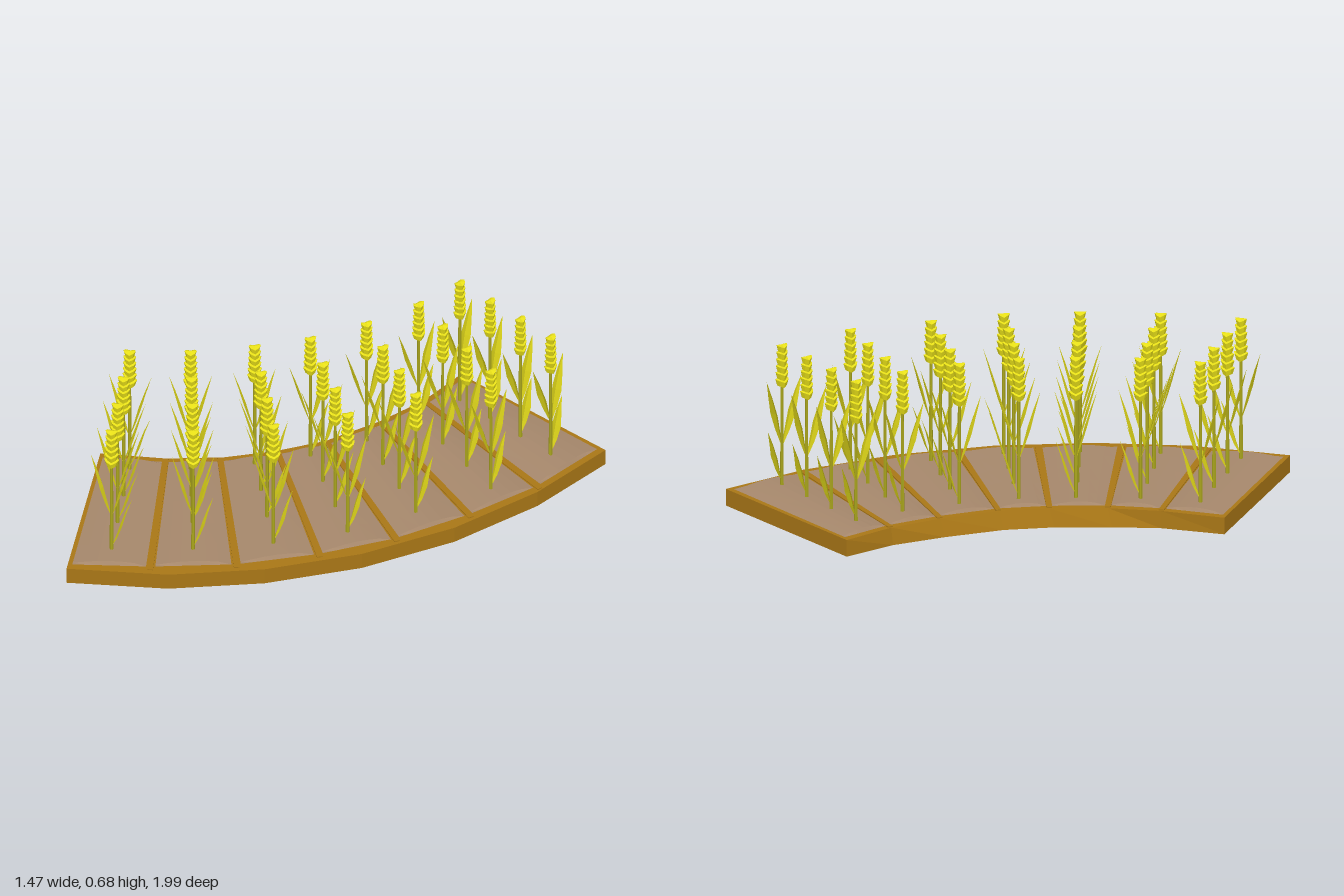
import * as THREE from 'three';

const mat = (color, side = THREE.FrontSide) =>
  new THREE.MeshStandardMaterial({ color, side, flatShading: true });
const wood = mat(0xa87616), soil = mat(0xa5876b);
const earMat = mat(0xe6de18), stemMat = mat(0xa8a41c), leafMat = mat(0xd8d018, THREE.DoubleSide);

const H = 0.07; // slab height
// Corners as [x, z]; seven beds lie between eight dividers
const outer = [[0.73, -1], [0.71, -0.62], [0.62, -0.23], [0.46, 0.14], [0.24, 0.47], [-0.02, 0.75], [-0.345, 0.99]];
const innerBottom = [[-0.02, -0.98], [-0.03, -0.755], [-0.085, -0.54], [-0.165, -0.305], [-0.265, -0.13],
  [-0.405, 0.05], [-0.53, 0.195], [-0.74, 0.35]];
const innerTop = [[-0.02, -0.98], [-0.017, -0.755], [-0.057, -0.54], [-0.132, -0.305], [-0.232, -0.13],
  [-0.37, 0.055], [-0.525, 0.2], [-0.74, 0.35]];
const dividerOut = [[0.73, -1], [0.71, -0.64], [0.63, -0.32], [0.515, -0.01], [0.355, 0.27], [0.155, 0.54], [-0.09, 0.78], [-0.345, 0.99]];
// First and last plant of each bed: x, z, x, z
const rows = [[0.10, -0.84, 0.60, -0.82], [0.07, -0.63, 0.57, -0.50], [0, -0.40, 0.45, -0.19], [-0.10, -0.18, 0.335, 0.085],
  [-0.23, 0.005, 0.165, 0.335], [-0.395, 0.20, -0.045, 0.575], [-0.575, 0.36, -0.285, 0.79]];

const lerp = THREE.MathUtils.lerp;
const mix = (a, b, t) => [lerp(a[0], b[0], t), lerp(a[1], b[1], t)];

function named(geometry, material, name) {
  const m = new THREE.Mesh(geometry, material);
  m.name = name;
  return m;
}

// Move every vertex of a geometry by a rule
function reshape(geometry, rule) {
  const p = geometry.attributes.position, v = new THREE.Vector3();
  for (let i = 0; i < p.count; i++) {
    rule(v.fromBufferAttribute(p, i));
    p.setXYZ(i, v.x, v.y, v.z);
  }
  geometry.computeVertexNormals();
  return geometry;
}

// Curved slab whose inner wall leans in towards the top
function slabGeometry() {
  const outline = [...outer, ...[...innerBottom].reverse()].map(p => new THREE.Vector2(...p));
  const g = new THREE.ExtrudeGeometry(new THREE.Shape(outline), { depth: H, bevelEnabled: false });
  g.rotateX(Math.PI / 2).translate(0, H, 0);
  return reshape(g, v => {
    if (v.y < H / 2) return;
    const i = innerBottom.findIndex(p => Math.hypot(p[0] - v.x, p[1] - v.z) < 1e-4);
    if (i >= 0) [v.x, v.z] = innerTop[i];
  });
}

// Arched soil strip with short sloping ends
function bedGeometry(i) {
  const along = [0.035, 0.05, 0.2, 0.4, 0.6, 0.8, 0.95, 0.965];
  const g = new THREE.PlaneGeometry(1, 1, along.length - 1, 6).rotateX(-Math.PI / 2);
  return reshape(g, v => {
    const k = Math.round((v.x + 0.5) * (along.length - 1)), t = v.z + 0.5;
    const s = lerp(0.055, 0.945, t);
    const end = k === 0 || k === along.length - 1;
    const p = mix(mix(innerTop[i], innerTop[i + 1], s), mix(dividerOut[i], dividerOut[i + 1], s), along[k]);
    v.set(p[0], H + 0.002 + (end ? 0 : 0.014 * Math.sin(Math.PI * t)), p[1]);
  });
}

// Pointed folded blade; profile rows are [reach, height, half width]
function leafGeometry(profile, sign) {
  const n = profile.length - 1;
  const g = new THREE.PlaneGeometry(1, 1, 2, n);
  return reshape(g, v => {
    const k = Math.round((v.y + 0.5) * n), side = Math.round(v.x * 2);
    const [reach, y, w] = profile[k];
    v.set(side * w - 0.015 * k / n, y, sign * (reach + Math.abs(side) * w * 0.35));
  });
}

// Ear of stacked flaring tiers, with chevron-shaped edges
function earGeometry() {
  const tiers = 6, y0 = 0.495, step = 0.029, profile = [new THREE.Vector2(0.001, y0)];
  for (let i = 0; i < tiers; i++) {
    const r = 1 - 0.22 * i / tiers;
    profile.push(new THREE.Vector2(0.72 * r, y0 + i * step + 0.002), new THREE.Vector2(r, y0 + (i + 0.85) * step));
  }
  profile.push(new THREE.Vector2(0.001, 0.677));
  return reshape(new THREE.LatheGeometry(profile, 8), v => {
    v.y += 0.014 * Math.abs(v.z);
    v.x *= 0.022;
    v.z *= 0.03;
  });
}

const upper = [[0, 0.25, 0.003], [0.018, 0.32, 0.017], [0.035, 0.39, 0.025], [0.06, 0.47, 0.014], [0.085, 0.54, 0]];
const lower = [[0, 0.10, 0.003], [0.018, 0.15, 0.015], [0.035, 0.21, 0.023], [0.055, 0.27, 0.013], [0.08, 0.33, 0]];

export function createModel() {
  const model = new THREE.Group();
  model.name = 'curvedGrainField';
  model.add(named(slabGeometry(), wood, 'slab'));

  // Thin boards between the beds
  for (let i = 1; i < 7; i++) {
    const a = innerTop[i], b = dividerOut[i], c = mix(a, b, 0.5);
    const length = Math.hypot(b[0] - a[0], b[1] - a[1]) - 0.01;
    const board = named(new THREE.BoxGeometry(length, 0.012, 0.022), wood, 'divider');
    board.position.set(c[0], H - 0.002, c[1]);
    board.rotation.y = -Math.atan2(b[1] - a[1], b[0] - a[0]);
    model.add(board);
  }

  const stem = new THREE.CylinderGeometry(0.006, 0.008, 0.44, 6).translate(0, 0.285, 0);
  const ear = earGeometry();
  const leaves = [
    ['frontLeaf', leafGeometry(upper, 1)],
    ['backLeaf', leafGeometry(upper, -1)],
    ['lowLeaf', leafGeometry(lower, -1)],
  ];

  rows.forEach(([x0, z0, x1, z1], i) => {
    model.add(named(bedGeometry(i), soil, 'soilBed'));
    // Four plants per bed, turned with the bed
    for (let k = 0; k < 4; k++) {
      const plant = new THREE.Group();
      plant.name = 'grainPlant';
      plant.add(named(stem, stemMat, 'stem'), named(ear, earMat, 'ear'));
      for (const [name, g] of leaves) plant.add(named(g, leafMat, name));
      plant.position.set(lerp(x0, x1, k / 3), 0, lerp(z0, z1, k / 3));
      plant.rotation.y = -Math.atan2(z1 - z0, x1 - x0);
      model.add(plant);
    }
  });
  return model;
}
